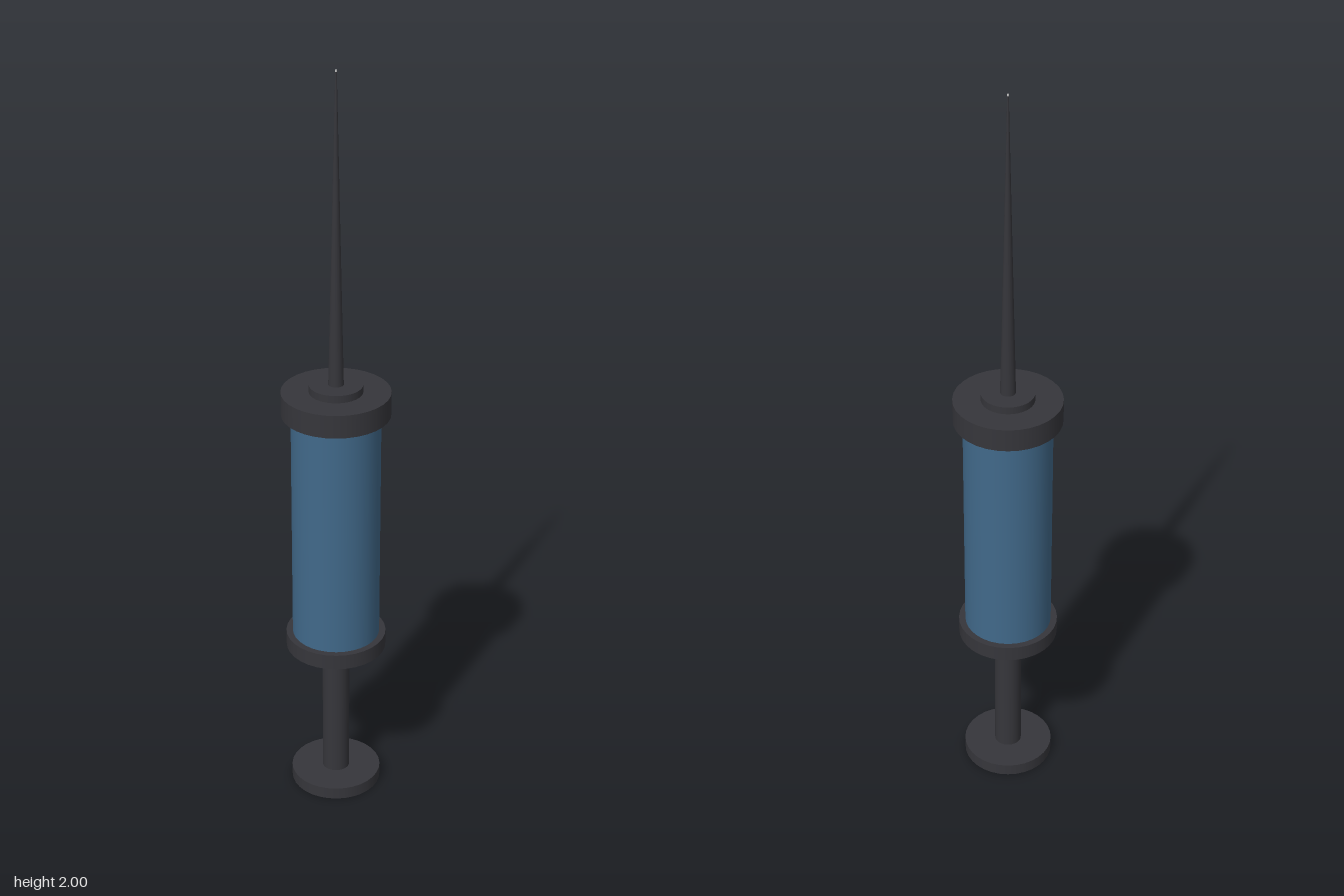
import * as THREE from 'three';

export function createModel() {
  const group = new THREE.Group();
  const dark = new THREE.MeshStandardMaterial({ color: 0x36363b });
  const blue = new THREE.MeshStandardMaterial({ color: 0x41698a });
  const pale = new THREE.MeshStandardMaterial({ color: 0xcccccc });

  // Upright round part between heights y0 and y1
  function disc(name, y0, y1, bottomR, topR, material, sides = 32) {
    const geometry = new THREE.CylinderGeometry(topR, bottomR, y1 - y0, sides);
    const mesh = new THREE.Mesh(geometry, material);
    mesh.name = name;
    mesh.position.y = (y0 + y1) / 2;
    group.add(mesh);
  }

  // Plunger
  disc('thumbRest', 0, 0.033, 0.12, 0.12, dark);
  disc('plungerRod', 0.033, 0.426, 0.036, 0.036, dark);

  // Barrel with its end caps
  disc('lowerCap', 0.426, 0.468, 0.132, 0.132, dark);
  disc('barrel', 0.468, 1.108, 0.115, 0.115, blue);
  disc('upperCap', 1.108, 1.17, 0.14, 0.14, dark);

  // Needle and its collar
  disc('needleCollar', 1.17, 1.19, 0.069, 0.069, dark);
  disc('needle', 1.19, 1.995, 0.02, 0.002, dark, 16);
  disc('needleTip', 1.995, 2, 0.002, 0.002, pale, 8);

  return group;
}
